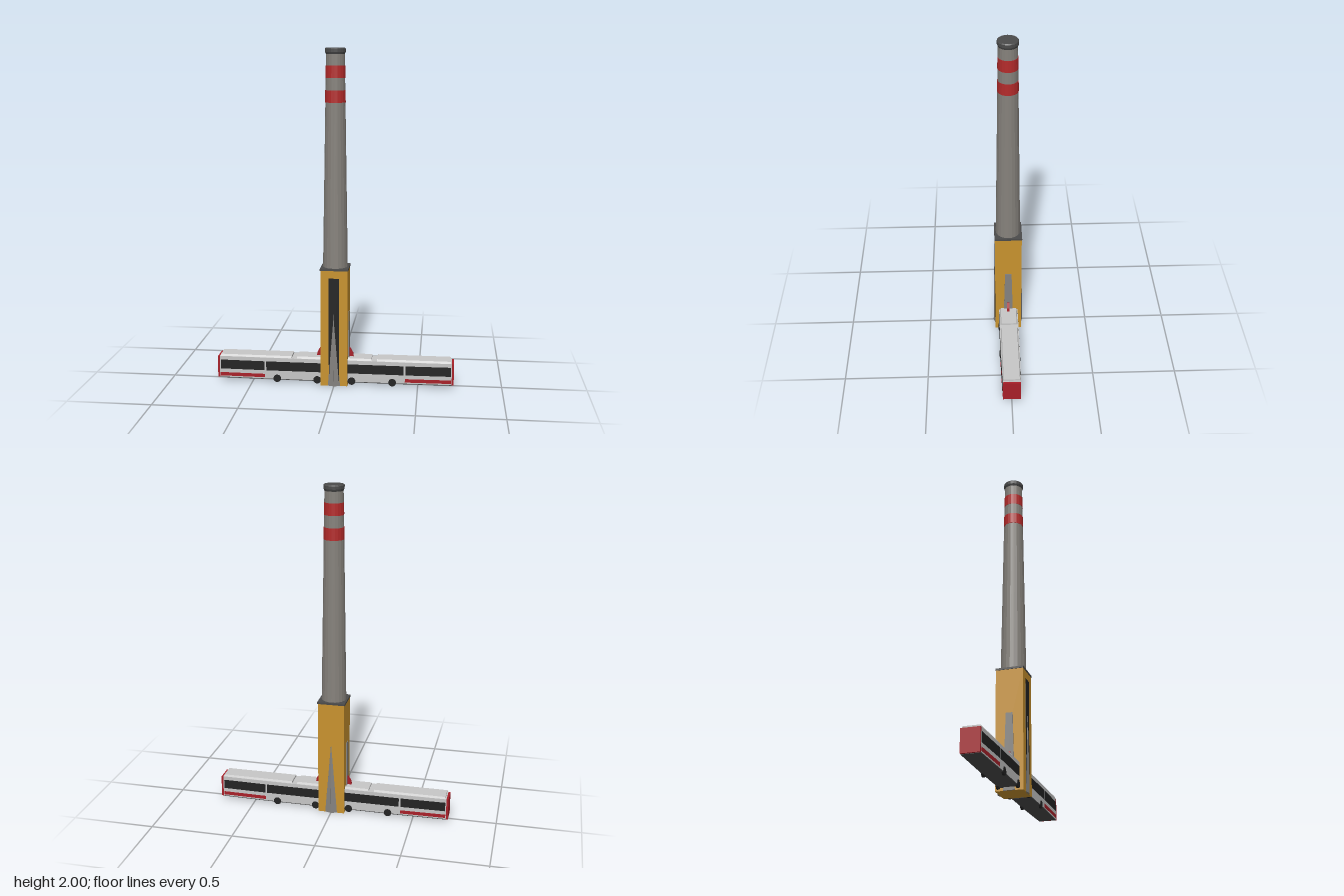
import * as THREE from 'three';

const mat = (name, color, extra = {}) => {
  const m = new THREE.MeshStandardMaterial({ color, ...extra });
  m.name = name;
  return m;
};

export function createModel() {
  const root = new THREE.Group();
  root.name = 'chimneyTowerWithTram';
  const flat = { flatShading: true };
  const concrete = mat('concrete grey', 0x85817b, flat);
  const red = mat('signal red', 0xb32a2a, flat);
  const charcoal = mat('charcoal', 0x4b4b4b, flat);
  const ochre = mat('ochre', 0xc8922e, flat);
  const black = mat('glass black', 0x232323, flat);
  const silver = mat('silver', 0xc6c6c6, flat);
  const steel = mat('steel grey', 0x84827f, flat);
  const crimson = mat('crimson', 0xa81f28, flat);

  const add = (parent, name, geo, material, x = 0, y = 0, z = 0) => {
    const m = new THREE.Mesh(geo, material);
    m.name = name;
    m.position.set(x, y, z);
    parent.add(m);
    return m;
  };
  const box = (w, h, d) => new THREE.BoxGeometry(w, h, d);

  // Chimney shaft, hoops and cap
  const chimney = new THREE.Group();
  chimney.name = 'chimney';
  root.add(chimney);
  const radiusAt = (y) => 0.074 - ((y - 0.72) / 1.26) * 0.02;
  const ring = (name, y0, y1, extra, material) =>
    add(chimney, name, new THREE.CylinderGeometry(radiusAt(y1) + extra, radiusAt(y0) + extra, y1 - y0, 20),
      material, 0, (y0 + y1) / 2, 0);
  ring('shaft', 0.72, 1.98, 0, concrete);
  ring('lowerHoop', 1.69, 1.76, 0.0015, red);
  ring('upperHoop', 1.83, 1.9, 0.0015, red);
  add(chimney, 'cap', new THREE.LatheGeometry(
    [[0, 1.965], [0.055, 1.965], [0.06, 1.977], [0.06, 1.995], [0.056, 2], [0, 2]].map((p) => new THREE.Vector2(...p)), 20), charcoal);

  // Square tower below
  const tower = new THREE.Group();
  tower.name = 'tower';
  root.add(tower);
  add(tower, 'towerBlock', box(0.16, 0.71, 0.162), ochre, 0, 0.355, 0);
  add(tower, 'towerSlab', box(0.167, 0.012, 0.167), charcoal, 0, 0.714, 0);
  add(tower, 'frontPanel', box(0.062, 0.66, 0.003), black, 0, 0.332, 0.081);

  // Tapered buttress: half widths at foot and top, sticking out of a wall along +z
  const buttress = (foot, top, height, out, crease) => {
    const g = new THREE.CylinderGeometry(1, 1, height, 4, 1);
    const p = g.attributes.position;
    for (let i = 0; i < p.count; i++) {
      const up = p.getY(i) > 0;
      const half = up ? top : foot;
      const reach = up ? 0.004 : out;
      let x = p.getX(i), z = p.getZ(i);
      if (!crease) [x, z] = [x + z, z - x]; // square plan
      p.setXYZ(i, x * half, p.getY(i) + height / 2, z * reach);
    }
    g.computeVertexNormals();
    return g;
  };
  for (const s of [1, -1]) {
    const spike = add(tower, s > 0 ? 'frontSpike' : 'backSpike',
      buttress(0.037, 0.001, 0.445, 0.011, true), steel, 0, 0, s * 0.081);
    spike.rotation.y = s > 0 ? 0 : Math.PI;
    const side = add(tower, s > 0 ? 'leftButtress' : 'rightButtress',
      buttress(0.032, 0.02, 0.445, 0.008, false), steel, s * 0.08, 0, 0);
    side.rotation.y = s * Math.PI / 2;
    // Red bracket between tower wall and tram roof
    const shape = new THREE.Shape();
    shape.moveTo(0.075, 0.155);
    shape.lineTo(0.113, 0.155);
    shape.lineTo(0.108, 0.185);
    shape.lineTo(0.09, 0.217);
    shape.lineTo(0.075, 0.217);
    const bracket = add(tower, s > 0 ? 'leftBracket' : 'rightBracket',
      new THREE.ExtrudeGeometry(shape, { depth: 0.016, bevelEnabled: false }), crimson, 0, 0, -s * 0.008);
    bracket.rotation.y = s > 0 ? 0 : Math.PI;
    if (s < 0) bracket.position.z = 0.008;
  }

  // Tram body, plan slightly tapered toward both ends
  const tram = new THREE.Group();
  tram.name = 'tram';
  root.add(tram);
  const midX = 0.42, endX = 0.702, midZ = 0.058, endZ = 0.053;
  const plan = new THREE.Shape([
    [-endX, -endZ], [-midX, -midZ], [midX, -midZ], [endX, -endZ],
    [endX, endZ], [midX, midZ], [-midX, midZ], [-endX, endZ],
  ].map((p) => new THREE.Vector2(...p)));
  const slice = (y0, y1) => new THREE.ExtrudeGeometry(plan, { depth: y1 - y0, bevelEnabled: false })
    .rotateX(-Math.PI / 2).translate(0, y0, 0);
  add(tram, 'tramBody', slice(0.022, 0.153), silver);
  add(tram, 'underframe', slice(0.018, 0.022), charcoal);

  // Chamfered roof panels with gaps between them
  const roofProfile = new THREE.Shape([[-0.053, 0.153], [0.053, 0.153], [0.047, 0.165], [-0.047, 0.165]]
    .map((p) => new THREE.Vector2(...p)));
  for (const [x0, x1] of [[-0.695, -0.26], [-0.227, 0.222], [0.255, 0.695]]) {
    const g = new THREE.ExtrudeGeometry(roofProfile, { depth: x1 - x0, bevelEnabled: false });
    add(tram, 'roofPanel', g.rotateY(Math.PI / 2), silver, x0, 0, 0);
  }

  // Windows, stripes, end faces and wheels, mirrored
  const slope = Math.atan((midZ - endZ) / (endX - midX));
  const wheelGeo = new THREE.CylinderGeometry(0.023, 0.023, 0.012, 16).rotateX(Math.PI / 2);
  for (const sz of [1, -1]) {
    add(tram, 'middleWindows', box(0.83, 0.056, 0.003), black, 0, 0.102, sz * midZ);
    for (const sx of [1, -1]) {
      const zAt = (x) => sz * (midZ - (x - midX) * Math.tan(slope));
      const windows = add(tram, 'endWindows', box(0.27, 0.056, 0.003), black, sx * 0.561, 0.102, zAt(0.561));
      const stripe = add(tram, 'stripe', box(0.275, 0.021, 0.003), crimson, sx * 0.561, 0.04, zAt(0.561));
      windows.rotation.y = stripe.rotation.y = sx * sz * slope;
      for (const x of [0.104, 0.348]) add(tram, 'wheel', wheelGeo, black, sx * x, 0.026, sz * 0.056);
    }
  }
  for (const sx of [1, -1]) add(tram, 'endFace', box(0.013, 0.13, 0.106), crimson, sx * 0.7075, 0.085, 0);

  return root;
}
